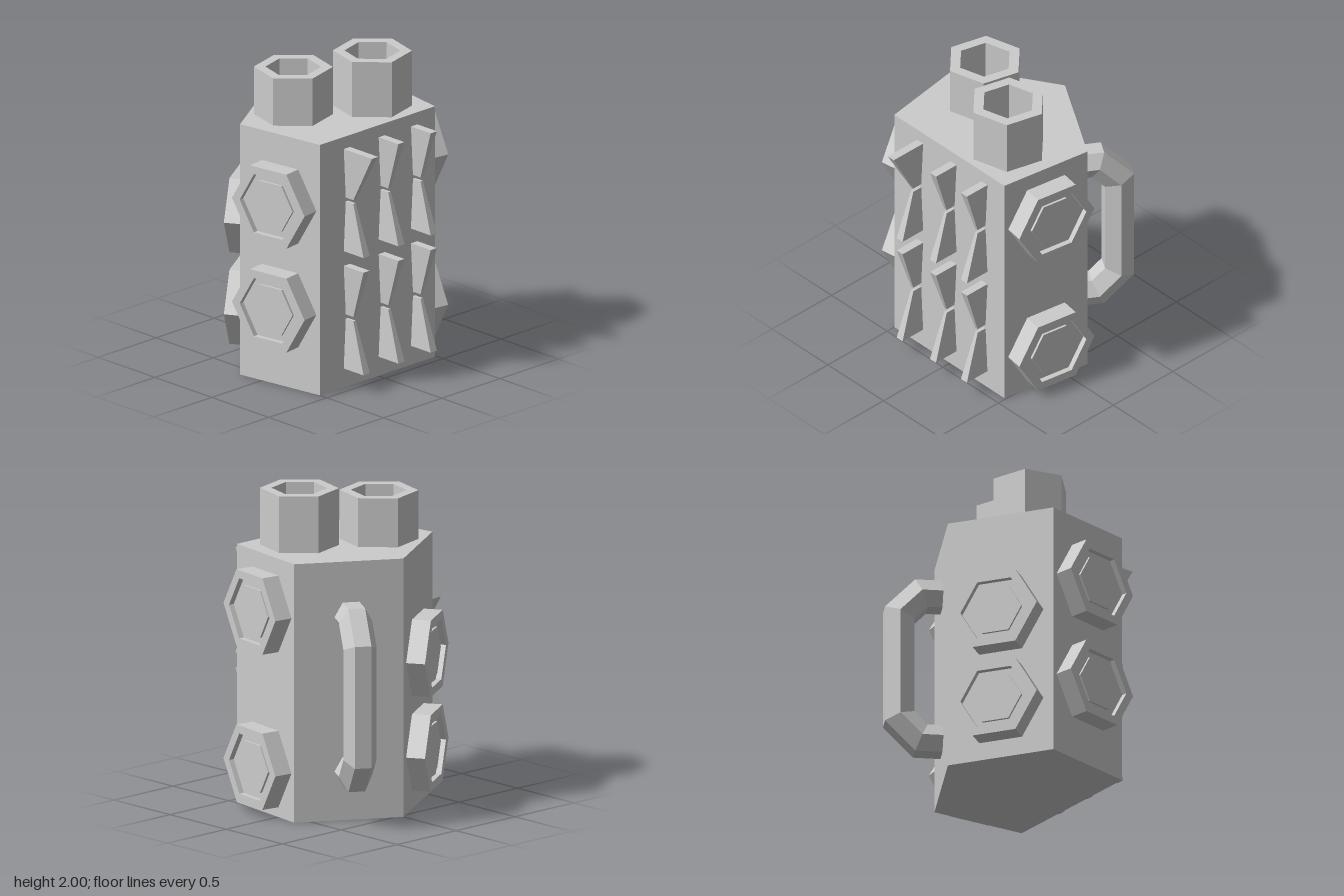
import * as THREE from 'three';

const material = new THREE.MeshStandardMaterial({ color: 0xcccccc, flatShading: true });

// Plan corners of the body as [x, z], starting at the front right and running anticlockwise
const PLAN = [[-0.5, 0.44], [0.49, 0.44], [0.585, -0.17], [0, -0.53], [-0.59, -0.17]];
const BODY_HEIGHT = 1.64;

function addMesh(parent, name, geometry, x = 0, y = 0, z = 0) {
  const mesh = new THREE.Mesh(geometry, material);
  mesh.name = name;
  mesh.position.set(x, y, z);
  parent.add(mesh);
  return mesh;
}

function hexPoints(radius, turn = 0) {
  return Array.from({ length: 6 }, (_, i) => {
    const a = turn + (i * Math.PI) / 3;
    return new THREE.Vector2(radius * Math.cos(a), radius * Math.sin(a));
  });
}

// Hexagonal prism along +z, optionally with a hexagonal hole
function hexPrism(radius, depth, holeRadius = 0, turn = 0) {
  const shape = new THREE.Shape(hexPoints(radius, turn));
  if (holeRadius) shape.holes.push(new THREE.Path(hexPoints(holeRadius, turn)));
  return new THREE.ExtrudeGeometry(shape, { depth, bevelEnabled: false });
}

// Group in the middle of a wall: local x along the wall, y up, z outward
function wallGroup(root, name, index) {
  const [ax, az] = PLAN[index];
  const [bx, bz] = PLAN[(index + 1) % PLAN.length];
  const group = new THREE.Group();
  group.name = name;
  group.position.set((ax + bx) / 2, 0, (az + bz) / 2);
  group.rotation.y = Math.atan2(az - bz, bx - ax);
  root.add(group);
  return group;
}

// Thick hexagonal rim with a shallow recess and a slightly raised centre
function addButton(wall, y) {
  const button = new THREE.Group();
  button.name = 'hexButton';
  button.position.y = y;
  wall.add(button);
  addMesh(button, 'buttonRim', hexPrism(0.28, 0.12, 0.22));
  addMesh(button, 'buttonFloor', hexPrism(0.222, 0.085));
  addMesh(button, 'buttonCentre', hexPrism(0.172, 0.1));
}

// Hexagonal bar swept along a mitred path of [outward, up] points
function handleGeometry(path, radius) {
  const pts = path.map(([z, y]) => new THREE.Vector2(z, y));
  const positions = [];
  const indices = [];
  pts.forEach((p, i) => {
    const before = p.clone().sub(pts[Math.max(i - 1, 0)]).normalize();
    const after = pts[Math.min(i + 1, pts.length - 1)].clone().sub(p).normalize();
    const tangent = before.clone().add(after).normalize();
    const stretch = 1 / Math.max(tangent.dot(before), tangent.dot(after));
    for (const h of hexPoints(radius)) {
      const s = h.y * stretch;
      positions.push(h.x, p.y + tangent.x * s, p.x - tangent.y * s);
    }
    if (i === 0) return;
    for (let j = 0; j < 6; j++) {
      const k = (j + 1) % 6;
      const a = (i - 1) * 6 + j, b = (i - 1) * 6 + k, c = i * 6 + k, d = i * 6 + j;
      indices.push(a, b, c, a, c, d);
    }
  });
  const geometry = new THREE.BufferGeometry();
  geometry.setAttribute('position', new THREE.Float32BufferAttribute(positions, 3));
  geometry.setIndex(indices);
  geometry.computeVertexNormals();
  return geometry;
}

// Fin that is wide and long at one end, narrow and short at the other
function finGeometry(length, wideAtTop) {
  const geometry = new THREE.BoxGeometry(1, 0.322, 1);
  const pos = geometry.attributes.position;
  for (let i = 0; i < pos.count; i++) {
    const wide = pos.getY(i) > 0 === wideAtTop;
    pos.setX(i, pos.getX(i) * (wide ? 0.054 : 0.02));
    pos.setZ(i, pos.getZ(i) > 0 ? (wide ? length : 0.067) : -0.01);
  }
  geometry.computeVertexNormals();
  return geometry;
}

export function createModel() {
  const root = new THREE.Group();
  root.name = 'fivesidedCanister';

  // Five-sided body
  const plan = new THREE.Shape(PLAN.map(([x, z]) => new THREE.Vector2(x, -z)));
  const body = new THREE.ExtrudeGeometry(plan, { depth: BODY_HEIGHT, bevelEnabled: false });
  addMesh(root, 'body', body.rotateX(-Math.PI / 2));

  // Open hexagonal spouts on the top
  const spouts = [['backSpout', -0.23, -0.07, 0.31], ['frontSpout', 0.225, 0.16, 0.36]];
  for (const [name, x, z, height] of spouts) {
    const spout = hexPrism(0.243, height, 0.172, Math.PI / 12).rotateX(-Math.PI / 2);
    addMesh(root, name, spout, x, BODY_HEIGHT, z);
  }

  // Pairs of buttons on three walls
  const pairs = [['leftButtons', 1, [1.29, 0.305]], ['rightButtons', 4, [1.2, 0.52]], ['backButtons', 3, [0.96, 0.36]]];
  for (const [name, index, heights] of pairs) {
    const wall = wallGroup(root, name, index);
    heights.forEach((y) => addButton(wall, y));
  }

  // Carrying handle on the remaining back wall
  const handleWall = wallGroup(root, 'handle', 2);
  const path = [[-0.02, 1.29], [0.13, 1.29], [0.265, 1.15], [0.265, 0.45], [0.13, 0.31], [-0.02, 0.31]];
  addMesh(handleWall, 'handleBar', handleGeometry(path, 0.105), 0.015);

  // Three columns of fins on the front, alternating in direction
  const fins = new THREE.Group();
  fins.name = 'frontFins';
  root.add(fins);
  [-0.268, 0.032, 0.31].forEach((x, column) => {
    [1.4, 1.053, 0.635, 0.285].forEach((y, row) => {
      const length = column === 0 && row === 0 ? 0.248 : 0.173;
      addMesh(fins, 'fin', finGeometry(length, row % 2 === 0), x, y, 0.44);
    });
  });

  return root;
}
